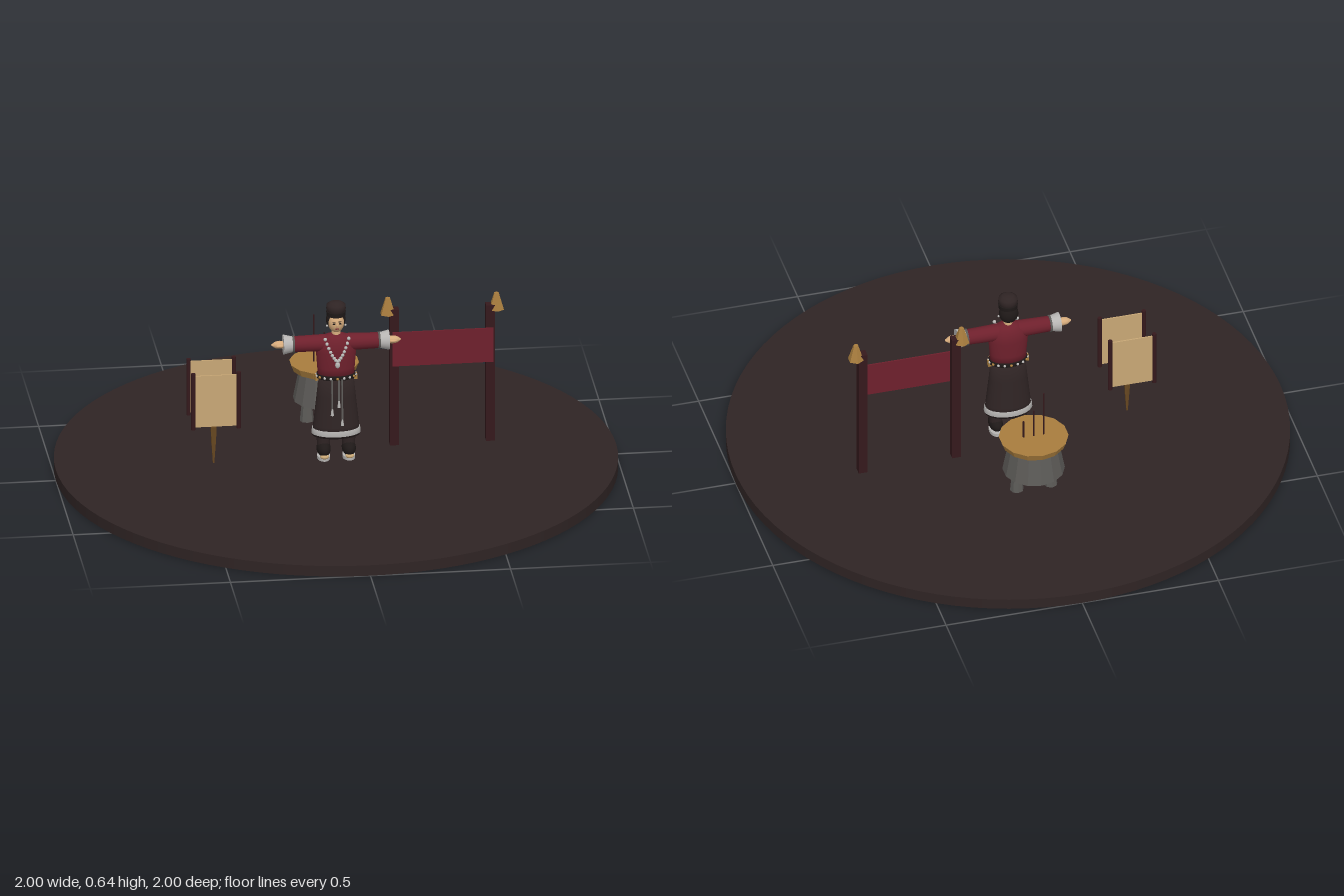
import * as THREE from 'three';

const mat = (name, color, extra = {}) => {
  const m = new THREE.MeshStandardMaterial({ color, ...extra });
  m.name = name;
  return m;
};

export function createModel() {
  const root = new THREE.Group();
  root.name = 'ritualStage';
  const M = {
    dark: mat('dark brown', 0x2f2424),
    black: mat('black', 0x1f1918),
    maroon: mat('maroon', 0x6e202c, { side: THREE.DoubleSide }),
    post: mat('dark red wood', 0x35191c),
    gold: mat('gold', 0xa87d3e),
    paper: mat('parchment', 0xc9a876),
    grey: mat('iron grey', 0x5c5a57),
    skin: mat('skin', 0xd6ab7c),
    silver: mat('silver', 0xb8b6b4),
    brown: mat('brown', 0x6b4a22),
  };
  const add = (name, geo, material, x = 0, y = 0, z = 0, parent = root) => {
    const m = new THREE.Mesh(geo, material);
    m.name = name;
    m.position.set(x, y, z);
    parent.add(m);
    return m;
  };
  const group = (name, x = 0, y = 0, z = 0) => {
    const g = new THREE.Group();
    g.name = name;
    g.position.set(x, y, z);
    root.add(g);
    return g;
  };
  const box = (w, h, d) => new THREE.BoxGeometry(w, h, d);
  const cyl = (rt, rb, h, n = 16) => new THREE.CylinderGeometry(rt, rb, h, n);
  const ball = (rx, ry = rx, rz = rx) => new THREE.SphereGeometry(1, 20, 14).scale(rx, ry, rz);
  const lathe = (pts, depth) => new THREE.LatheGeometry(pts.map(p => new THREE.Vector2(...p)), 28).scale(1, 1, depth);
  // cylinder facets stay flat
  const facet = (rt, rb, h, n) => {
    const g = cyl(rt, rb, h, n).toNonIndexed();
    g.computeVertexNormals();
    return g;
  };

  add('floorDisc', cyl(1, 1, 0.04, 96), M.dark, 0, 0.02, 0);

  // Banner between two posts with gold finials
  const banner = group('bannerStand');
  for (const [px, fx] of [[0.219, 0.197], [0.562, 0.585]]) {
    add('bannerPost', box(0.032, 0.52, 0.032), M.post, px, 0.3, -0.095, banner);
    add('finial', facet(0.009, 0.029, 0.062, 6), M.gold, fx, 0.57, -0.097, banner);
  }
  add('bannerCloth', box(0.36, 0.13, 0.005), M.maroon, 0.39, 0.415, -0.065, banner);

  // Two scrolls hanging either side of a brush
  for (const z of [-0.07, 0.07]) {
    const scroll = group('scroll', -0.437, 0.307, z);
    add('scrollSheet', box(0.155, 0.196, 0.005), M.paper, 0, 0, 0, scroll);
    for (const s of [-1, 1]) add('scrollRod', cyl(0.008, 0.008, 0.215, 10), M.post, s * 0.081, 0, 0, scroll);
  }
  const brush = group('brush', -0.437, 0, 0);
  add('brushTop', facet(0.012, 0.009, 0.065, 6), M.brown, 0, 0.147, 0, brush);
  add('brushStem', facet(0.009, 0.003, 0.08, 6), M.brown, 0, 0.08, 0, brush);

  // Incense burner on short legs
  const censer = group('censer', 0, 0, -0.345);
  add('censerBody', facet(0.088, 0.111, 0.12, 14), M.grey, 0, 0.183, 0, censer);
  add('censerLid', facet(0.124, 0.114, 0.026, 14), M.gold, 0, 0.252, 0, censer);
  for (const s of [-1, 1]) add('censerLeg', facet(0.016, 0.025, 0.09, 8), M.grey, s * 0.062, 0.085, 0, censer);
  [[-0.037, 0.445], [0, 0.375], [0.037, 0.335]].forEach(([x, top]) =>
    add('incenseStick', cyl(0.003, 0.003, top - 0.255, 6), M.post, x, (top + 0.255) / 2, 0, censer));

  // Robed figure: skirt, torso, belt
  const fig = group('figure');
  add('skirt', lathe([[0.001, 0.13], [0.085, 0.13], [0.082, 0.17], [0.07, 0.28], [0.062, 0.36], [0.001, 0.36]], 0.64), M.dark, 0, 0, 0, fig);
  add('skirtTrim', lathe([[0.083, 0.138], [0.088, 0.138], [0.086, 0.158], [0.082, 0.158]], 0.65), M.silver, 0, 0, 0, fig);
  add('torso', lathe([[0.001, 0.35], [0.066, 0.35], [0.067, 0.39], [0.072, 0.45], [0.066, 0.49], [0.04, 0.51], [0.016, 0.518], [0.001, 0.518]], 0.64), M.maroon, 0, 0, 0, fig);
  add('belt', lathe([[0.063, 0.35], [0.07, 0.35], [0.07, 0.366], [0.063, 0.366]], 0.66), M.black, 0, 0, 0, fig);
  for (let i = 0; i < 18; i++) {
    const a = i / 18 * Math.PI * 2;
    add('beltBead', ball(0.005), i % 3 ? M.silver : M.gold, Math.sin(a) * 0.07, 0.358, Math.cos(a) * 0.047, fig);
  }
  for (const s of [-1, 1]) add('beltPendant', box(0.012, 0.02, 0.02), M.gold, s * 0.069, 0.35, 0, fig);

  // Hanging sash cords with tassels
  for (const [x, len] of [[-0.02, 0.12], [0.004, 0.09], [0.016, 0.16]]) {
    const cord = add('sashCord', box(0.006, len, 0.005), M.grey, x, 0.355 - len / 2, 0.052, fig);
    cord.rotation.x = -0.05;
    add('tassel', cyl(0.003, 0.006, 0.025, 8), M.silver, x, 0.355 - len, 0.056, fig);
  }

  // Necklace of beads
  for (let i = 0; i <= 14; i++) {
    const t = i / 7 - 1;
    const y = 0.425 + 0.08 * Math.pow(Math.abs(t), 1.5);
    add('necklaceBead', ball(0.0065), M.silver, t * 0.042, y, 0.046 - 0.016 * t * t, fig);
  }
  add('necklacePendant', ball(0.009, 0.012, 0.006), M.silver, 0, 0.412, 0.048, fig);

  // Arms, cuffs, hands, legs and shoes
  for (const s of [-1, 1]) {
    const arm = new THREE.Group();
    arm.name = s > 0 ? 'leftArm' : 'rightArm';
    arm.position.set(s * 0.04, 0.481, 0);
    arm.rotation.z = -s * Math.PI / 2;
    fig.add(arm);
    add('sleeve', cyl(0.028, 0.031, 0.12), M.maroon, 0, 0.06, 0, arm);
    add('shoulder', ball(0.031), M.maroon, 0, 0, 0, arm);
    add('cuff', cyl(0.036, 0.028, 0.034), M.silver, 0, 0.132, 0, arm);
    add('cuffBand', cyl(0.031, 0.031, 0.007), M.grey, 0, 0.113, 0, arm);
    add('hand', ball(0.014, 0.026, 0.016), M.skin, 0, 0.162, 0, arm);
    add('fingers', ball(0.007, 0.018, 0.011), M.skin, 0, 0.174, 0, arm);
    add('thumb', ball(0.005, 0.014, 0.005), M.skin, 0, 0.162, 0.015, arm);

    add('leg', cyl(0.026, 0.022, 0.09), M.dark, s * 0.045, 0.115, 0, fig);
    add('shoe', ball(0.025, 0.028, 0.043), M.black, s * 0.045, 0.078, 0.005, fig);
    add('sole', cyl(0.023, 0.023, 0.012).scale(1, 1, 1.6), M.silver, s * 0.045, 0.046, 0.004, fig);
    add('toeCap', ball(0.016, 0.009, 0.014), M.paper, s * 0.045, 0.057, 0.034, fig);
  }

  // Head with hair, cap and face
  add('neck', cyl(0.015, 0.017, 0.03), M.skin, 0, 0.522, 0, fig);
  add('head', ball(0.029, 0.036, 0.03), M.skin, 0, 0.559, 0.004, fig);
  add('hair', ball(0.035, 0.038, 0.032), M.black, 0, 0.565, -0.009, fig);
  add('capBand', cyl(0.035, 0.034, 0.016, 24), M.black, 0, 0.594, 0, fig);
  add('capTop', lathe([[0.03, 0.6], [0.035, 0.612], [0.033, 0.627], [0.02, 0.635], [0.001, 0.637]], 1), M.dark, 0, 0, 0, fig);
  for (const s of [-1, 1]) {
    add('eye', ball(0.005, 0.003, 0.002), M.black, s * 0.011, 0.564, 0.0325, fig);
    add('eyebrow', box(0.011, 0.002, 0.002), M.black, s * 0.011, 0.571, 0.0315, fig);
    add('earring', ball(0.004), M.silver, s * 0.033, 0.547, 0.004, fig);
  }
  add('nose', ball(0.003, 0.006, 0.004), M.skin, 0, 0.557, 0.034, fig);
  add('lips', ball(0.007, 0.0025, 0.002), M.maroon, 0, 0.544, 0.0315, fig);
  return root;
}
